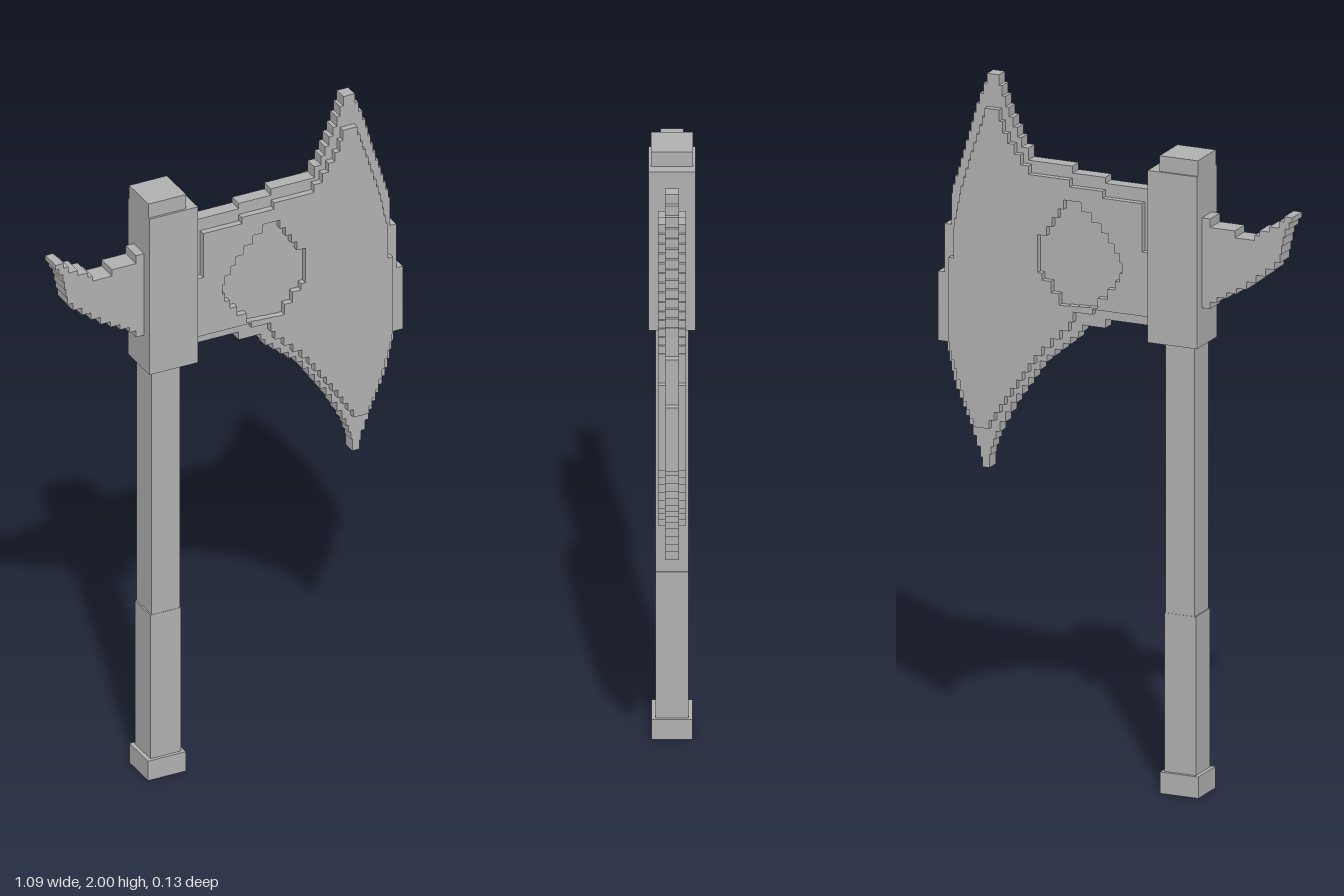
import * as THREE from 'three';

const Z = -0.0025; // mid-plane of the whole axe
const STEP = 0.026;

// Turn a coarse polyline into a staircase outline made of axis-aligned steps
function stairs(points) {
  const out = [new THREE.Vector2(...points[0])];
  for (let i = 0; i < points.length; i++) {
    const [x0, y0] = points[i];
    const [x1, y1] = points[(i + 1) % points.length];
    const dx = x1 - x0, dy = y1 - y0;
    if (Math.abs(dx) < 1e-6 || Math.abs(dy) < 1e-6) {
      out.push(new THREE.Vector2(x1, y1));
      continue;
    }
    const n = Math.max(1, Math.round(Math.max(Math.abs(dx), Math.abs(dy)) / STEP));
    for (let k = 0; k < n; k++) {
      const xm = x0 + dx * (k + 0.5) / n;
      out.push(new THREE.Vector2(xm, y0 + dy * k / n));
      out.push(new THREE.Vector2(xm, y0 + dy * (k + 1) / n));
    }
    out.push(new THREE.Vector2(x1, y1));
  }
  out.pop(); // the loop closes itself
  return out;
}

export function createModel() {
  const axe = new THREE.Group();
  axe.name = 'battleAxe';
  const grey = new THREE.MeshStandardMaterial({ color: 0xb0b0b0 });
  grey.name = 'grey';

  function add(name, geometry) {
    const mesh = new THREE.Mesh(geometry, grey);
    mesh.name = name;
    axe.add(mesh);
  }
  function box(name, x0, x1, y0, y1, depth) {
    const g = new THREE.BoxGeometry(x1 - x0, y1 - y0, depth);
    add(name, g.translate((x0 + x1) / 2, (y0 + y1) / 2, Z));
  }
  function plate(name, outline, depth, hole) {
    const shape = new THREE.Shape(stairs(outline));
    if (hole) shape.holes.push(new THREE.Path(stairs(hole)));
    const g = new THREE.ExtrudeGeometry(shape, { depth, bevelEnabled: false });
    add(name, g.translate(0, 0, Z - depth / 2));
  }

  // Shaft
  box('pommel', -0.27, -0.153, 0, 0.062, 0.112);
  box('lowerHandle', -0.258, -0.163, 0.062, 0.52, 0.092);
  box('upperHandle', -0.254, -0.165, 0.52, 1.3, 0.09);

  // Socket holding the blade
  box('socket', -0.27, -0.12, 1.3, 1.797, 0.13);
  box('socketCap', -0.27, -0.153, 1.797, 1.842, 0.117);

  // Thin cutting plate, running right round the blade
  plate('bladeEdge', [
    [-0.12, 1.335], [0.03, 1.335], [0.03, 1.31], [0.1, 1.31], [0.1, 1.29],
    [0.22, 1.19], [0.31, 1.06], [0.36, 0.97], [0.383, 0.9], [0.383, 0.862], [0.405, 0.862],
    [0.405, 0.89], [0.44, 0.98], [0.49, 1.1], [0.515, 1.21], [0.54, 1.21], [0.54, 1.41],
    [0.52, 1.41], [0.52, 1.55], [0.5, 1.55], [0.5, 1.64], [0.46, 1.77], [0.42, 1.91], [0.385, 2],
    [0.36, 2], [0.33, 1.91], [0.28, 1.8], [0.25, 1.765], [0.13, 1.765], [0.13, 1.745],
    [0.03, 1.745], [0.03, 1.728], [-0.12, 1.728]
  ], 0.04);

  // Thick blade body with a sunken, faceted medallion
  plate('bladeBody', [
    [-0.1, 1.365], [0.06, 1.365], [0.06, 1.35], [0.12, 1.35], [0.12, 1.32],
    [0.23, 1.21], [0.32, 1.08], [0.385, 0.98], [0.42, 0.98], [0.45, 1.05], [0.48, 1.14],
    [0.5, 1.215], [0.5, 1.46], [0.485, 1.46], [0.485, 1.55], [0.46, 1.67], [0.42, 1.8],
    [0.385, 1.905], [0.35, 1.905], [0.33, 1.84], [0.27, 1.755], [0.24, 1.73],
    [0.13, 1.73], [0.13, 1.71], [0.03, 1.71], [0.03, 1.69], [-0.09, 1.69],
    [-0.09, 1.55], [-0.11, 1.55], [-0.11, 1.365]
  ], 0.078, [
    [0.11, 1.67], [0.14, 1.67], [0.21, 1.56], [0.228, 1.56], [0.228, 1.45], [0.2, 1.43],
    [0.15, 1.365], [0.06, 1.37], [0, 1.43], [-0.03, 1.48], [-0.03, 1.51], [0.02, 1.59]
  ]);

  // Hooked spike behind the socket
  plate('rearSpike', [
    [-0.265, 1.41], [-0.265, 1.67], [-0.295, 1.67], [-0.295, 1.645], [-0.37, 1.645], [-0.37, 1.625],
    [-0.43, 1.625], [-0.43, 1.64], [-0.49, 1.67], [-0.52, 1.69], [-0.52, 1.705], [-0.545, 1.705],
    [-0.545, 1.69], [-0.525, 1.67], [-0.505, 1.57], [-0.45, 1.525], [-0.39, 1.48], [-0.3, 1.43], [-0.29, 1.41]
  ], 0.063);

  return axe;
}
